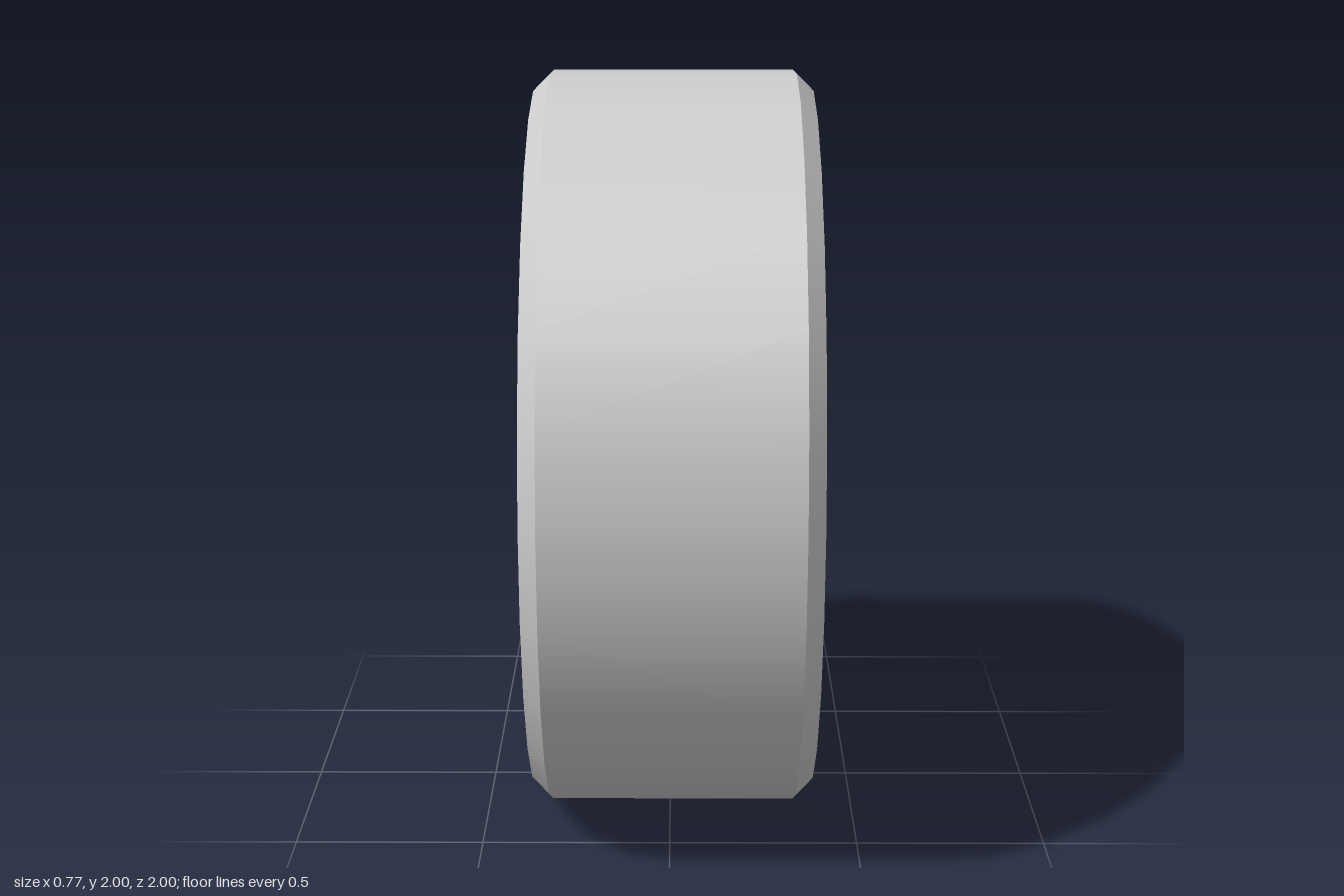
import * as THREE from 'three';
import { mergeGeometries } from 'three/addons/utils/BufferGeometryUtils.js';

const SIDES = 25;
const rad = THREE.MathUtils.degToRad;

// Lathe bands merged with a sharp edge between them; each band is a list of [radius, height]
function bands(list, sides = SIDES, start = 0) {
  return mergeGeometries(list.map((points) => new THREE.LatheGeometry(
    points.map(([r, h]) => new THREE.Vector2(r, h)), sides, start)));
}

// Point on the wheel's face; the angle runs from the model's front upwards
const polar = (r, deg) => new THREE.Vector2(r * Math.sin(rad(deg)), -r * Math.cos(rad(deg)));

function faceted(geometry) {
  const flat = geometry.toNonIndexed();
  flat.computeVertexNormals();
  return flat;
}

export function createModel() {
  const model = new THREE.Group();
  model.name = 'wheel';
  const grey = new THREE.MeshStandardMaterial({ color: 0xcccccc });
  grey.name = 'light grey';

  // Built with the axle along y, then laid over so the hub faces -x
  const wheel = new THREE.Group();
  wheel.name = 'wheelParts';
  wheel.rotation.z = Math.PI / 2;
  wheel.position.set(0, 1, -0.004);
  model.add(wheel);

  function add(name, geometry) {
    const mesh = new THREE.Mesh(geometry, grey);
    mesh.name = name;
    wheel.add(mesh);
    return mesh;
  }

  // Tyre: closed inner side, bevels, tread, sidewall and rim recess
  add('tyre', bands([
    [[0, -0.38], [0.957, -0.38]],
    [[0.957, -0.38], [1.002, -0.335]],
    [[1.002, -0.335], [1.002, 0.32]],
    [[1.002, 0.32], [0.957, 0.365]],
    [[0.957, 0.365], [0.72, 0.365]],
    [[0.72, 0.365], [0.66, 0.255]],
  ]));

  // Rounded shoulder of the hubcap, and the floor behind its slots
  add('hubcapShoulder', bands([[[0.66, 0.255], [0.61, 0.281], [0.54, 0.295]]]));
  add('slotFloor', bands([[[0.56, 0.256], [0, 0.256]]]));

  // Hubcap plate with five groups of four curved slots
  const plate = new THREE.Shape();
  plate.setFromPoints(Array.from({ length: SIDES }, (_, i) => polar(0.54, i * 360 / SIDES)));
  for (let k = 0; k < 5; k++) {
    for (let row = 0; row < 4; row++) {
      const inner = 0.27 + row * 0.07;
      const outer = inner + 0.042;
      const angles = [0, 14.4, 28.8].map((a) => a + k * 72);
      plate.holes.push(new THREE.Path([
        ...angles.map((a) => polar(inner, a)),
        ...angles.reverse().map((a) => polar(outer, a)),
      ]));
    }
  }
  const plateGeometry = new THREE.ExtrudeGeometry(plate, { depth: 0.039, bevelEnabled: false });
  plateGeometry.rotateX(-Math.PI / 2);
  add('hubcapPlate', plateGeometry).position.y = 0.256;

  // Five-sided flared centre
  add('hubCentre', bands([
    [[0.2, 0.294], [0.13, 0.32], [0.085, 0.365]],
    [[0.085, 0.365], [0.07, 0.387]],
    [[0.07, 0.387], [0, 0.387]],
  ], 5, Math.PI / 2));

  // Wheel nuts
  for (let k = 0; k < 5; k++) {
    const a = rad(-90 + 72 * k);
    const nut = add('wheelNut', faceted(new THREE.CylinderGeometry(0.068, 0.072, 0.06, 5)));
    nut.position.set(0.21 * Math.sin(a), 0.322, 0.21 * Math.cos(a));
    nut.rotation.y = a;
  }
  return model;
}
